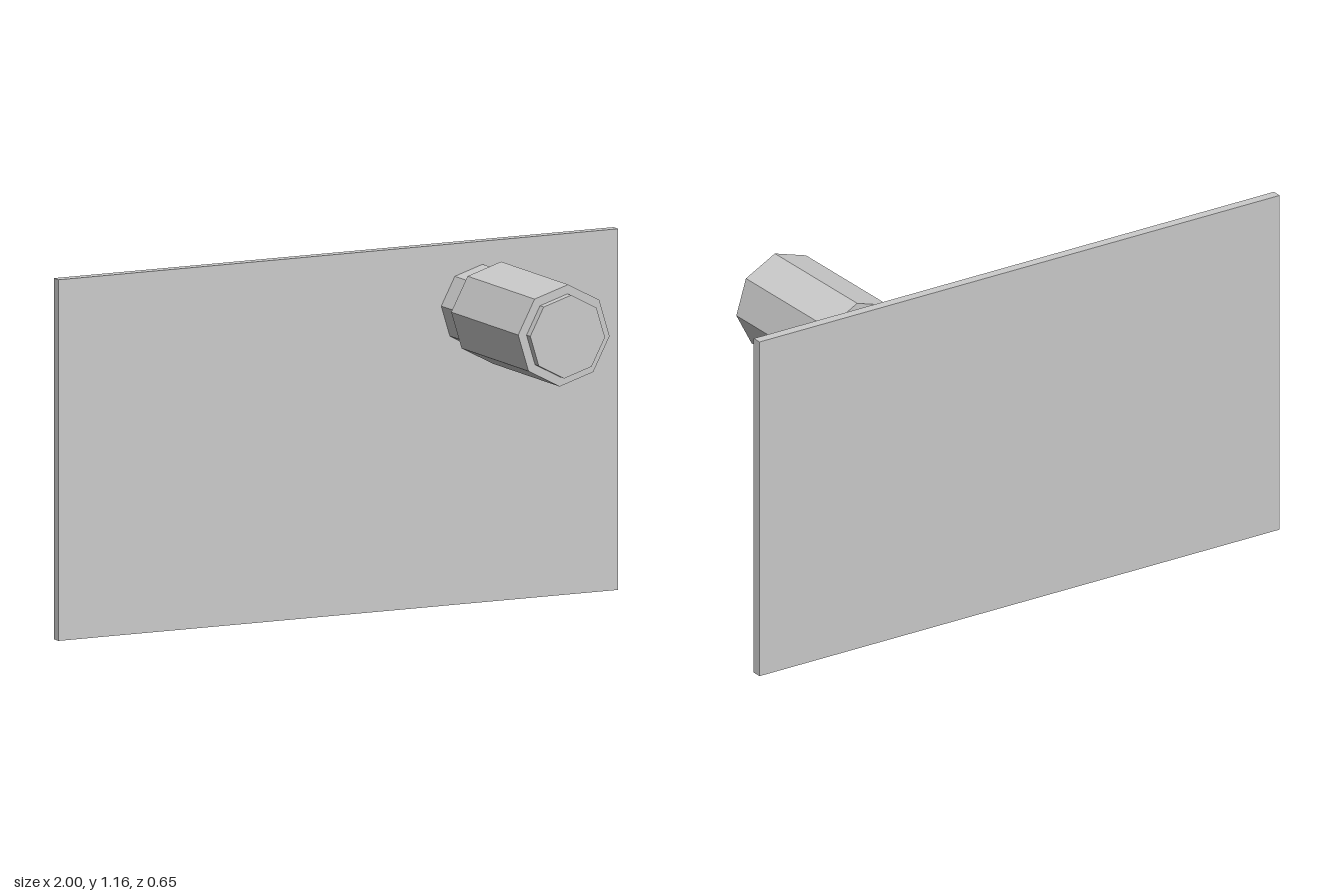
import * as THREE from 'three';

const material = new THREE.MeshStandardMaterial({ color: 0xcccccc, flatShading: true });

// Eight-sided drum lying along z, between two depths
function drum(name, radius, zBack, zFront) {
  const geometry = new THREE.CylinderGeometry(radius, radius, zFront - zBack, 8);
  geometry.rotateX(Math.PI / 2);
  const mesh = new THREE.Mesh(geometry, material);
  mesh.name = name;
  mesh.position.z = (zBack + zFront) / 2;
  return mesh;
}

export function createModel() {
  const model = new THREE.Group();
  model.name = 'panelWithKnob';

  // Thin upright panel
  const height = 1.165, back = -0.323, front = -0.29;
  const panel = new THREE.Mesh(new THREE.BoxGeometry(2, height, front - back), material);
  panel.name = 'panel';
  panel.position.set(0, height / 2, (back + front) / 2);
  model.add(panel);

  // Octagonal knob, turned slightly about its axis
  const knob = new THREE.Group();
  knob.name = 'knob';
  knob.add(
    drum('neck', 0.136, front, -0.167),
    drum('grip', 0.164, -0.167, 0.297),
    drum('endCap', 0.134, 0.297, 0.323)
  );
  knob.position.set(0.503, 0.955, 0);
  knob.rotation.z = -0.093;
  model.add(knob);

  return model;
}
